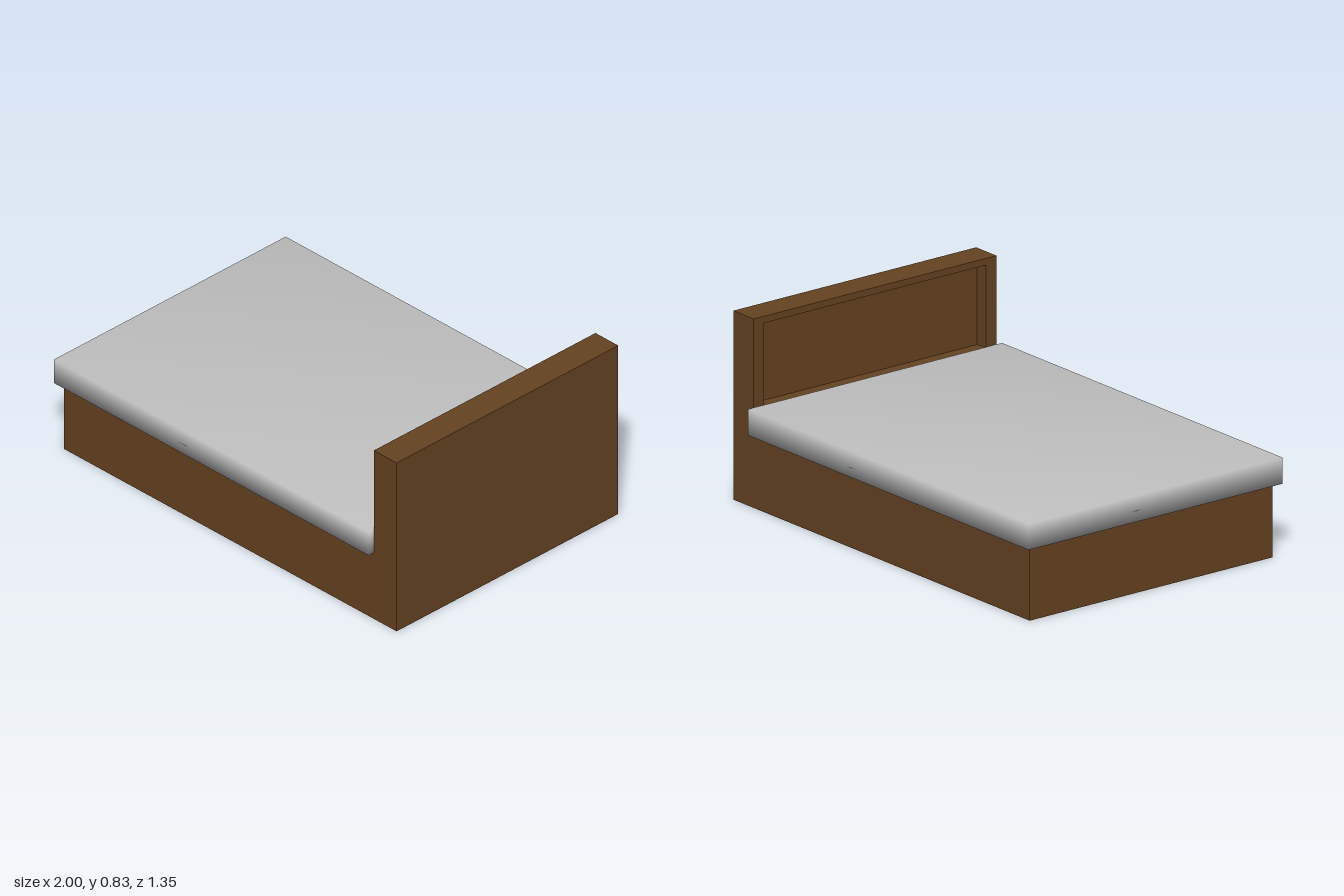
import * as THREE from 'three';
import { mergeVertices } from 'three/addons/utils/BufferGeometryUtils.js';

export function createModel() {
  const wood = new THREE.MeshStandardMaterial({ color: 0x654321 });
  wood.name = 'darkWood';
  const fabric = new THREE.MeshStandardMaterial({ color: 0xc0c0c0 });
  fabric.name = 'greyFabric';

  const bed = new THREE.Group();
  bed.name = 'bed';

  const add = (name, geometry, material, parent = bed) => {
    const mesh = new THREE.Mesh(geometry, material);
    mesh.name = name;
    parent.add(mesh);
    return mesh;
  };

  // Box given by its lower and upper corners
  const block = (x0, x1, y0, y1, halfZ) =>
    new THREE.BoxGeometry(x1 - x0, y1 - y0, halfZ * 2)
      .translate((x0 + x1) / 2, (y0 + y1) / 2, 0);

  const headX = 0.865, baseTop = 0.325, mattressTop = 0.44;
  const headTop = 0.83, halfZ = 0.645, recess = 0.06;

  // Solid base
  add('base', block(-0.97, headX, 0, baseTop, halfZ), wood);

  // Mattress: welded corners give its rims a soft shading
  const soft = block(-1, headX, baseTop, mattressTop, 0.675);
  soft.deleteAttribute('normal');
  soft.deleteAttribute('uv');
  const mattressGeometry = mergeVertices(soft);
  mattressGeometry.computeVertexNormals();
  add('mattress', mattressGeometry, fabric);

  // Headboard: back panel with a raised rim around a shallow recess
  const headboard = new THREE.Group();
  headboard.name = 'headboard';
  bed.add(headboard);
  add('headboardPanel', block(headX + recess, 1, 0, headTop, halfZ), wood, headboard);

  const rectangle = (Type, hz, y0, y1) => new Type([
    new THREE.Vector2(-hz, y0), new THREE.Vector2(hz, y0),
    new THREE.Vector2(hz, y1), new THREE.Vector2(-hz, y1),
  ]);
  const outline = rectangle(THREE.Shape, halfZ, 0, headTop);
  outline.holes.push(rectangle(THREE.Path, halfZ - 0.055, mattressTop - 0.005, headTop - 0.03));
  const rim = new THREE.ExtrudeGeometry(outline, { depth: recess, bevelEnabled: false });
  rim.rotateY(-Math.PI / 2).translate(headX + recess, 0, 0);
  add('headboardRim', rim, wood, headboard);

  return bed;
}
